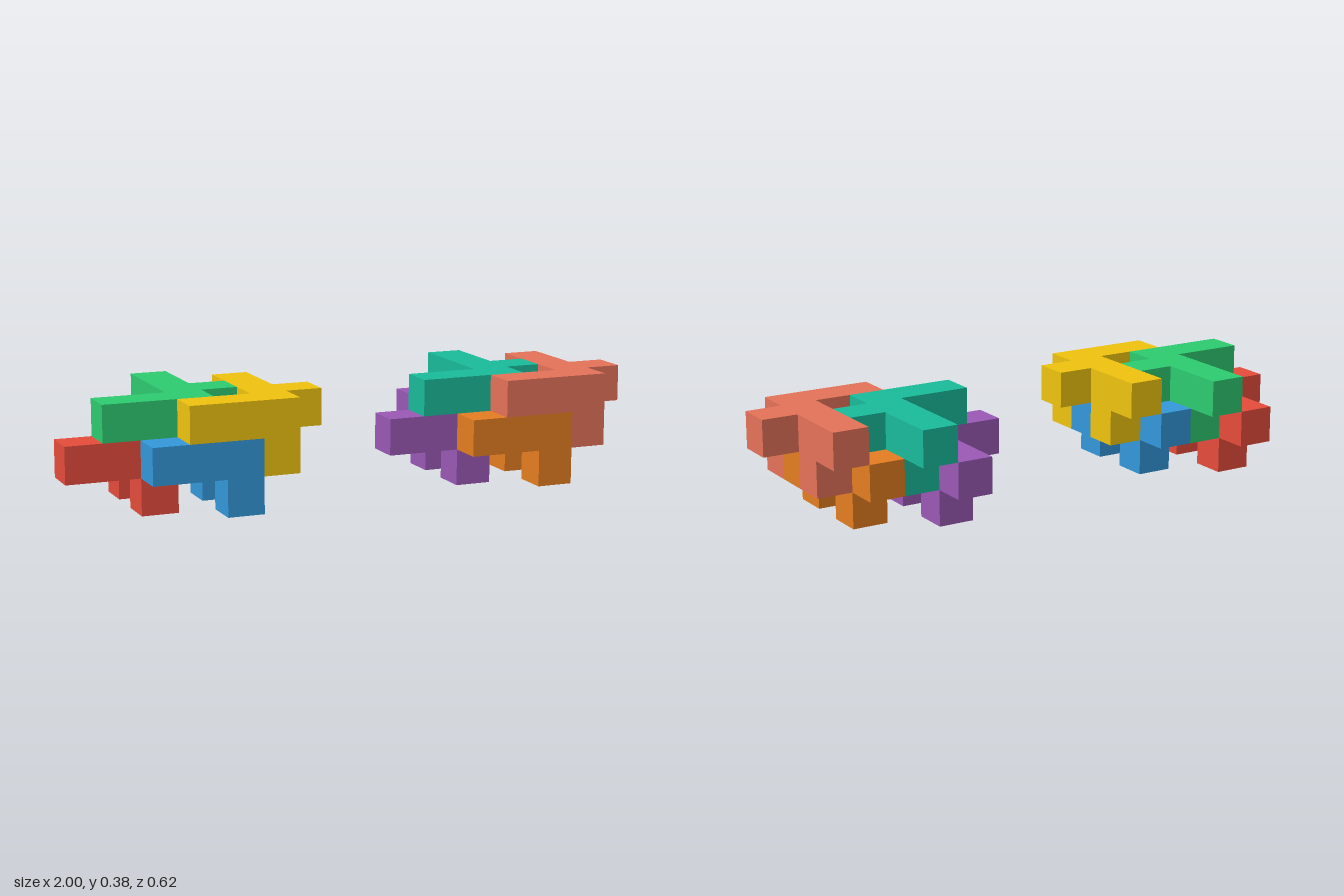
import * as THREE from 'three';
import { mergeGeometries } from 'three/addons/utils/BufferGeometryUtils.js';

const U = 0.125; // edge of one unit cube

// Cubes of one interlocking piece [x, y, z]: a bent bar with a side stub and two pegs below
const CELLS = [
  [0, 1, 3], [1, 1, 3], [2, 1, 3],
  [2, 1, 2], [2, 1, 1], [2, 1, 0],
  [3, 1, 2],
  [2, 0, 3], [2, 0, 1],
];

// Rotations turning a +z facing square towards each of the six directions
const SIDES = [
  { dir: [0, 0, 1], rx: 0, ry: 0 },
  { dir: [0, 0, -1], rx: 0, ry: Math.PI },
  { dir: [1, 0, 0], rx: 0, ry: Math.PI / 2 },
  { dir: [-1, 0, 0], rx: 0, ry: -Math.PI / 2 },
  { dir: [0, 1, 0], rx: -Math.PI / 2, ry: 0 },
  { dir: [0, -1, 0], rx: Math.PI / 2, ry: 0 },
];

// Outer skin of the piece: a square wherever a cube has no neighbour
function pieceGeometry() {
  const filled = new Set(CELLS.map((c) => c.join()));
  const faces = [];
  for (const c of CELLS) {
    for (const { dir, rx, ry } of SIDES) {
      if (filled.has(c.map((v, i) => v + dir[i]).join())) continue;
      const face = new THREE.PlaneGeometry(U, U).translate(0, 0, U / 2);
      face.rotateX(rx).rotateY(ry);
      face.translate((c[0] + 0.5) * U, (c[1] + 0.5) * U, (c[2] + 0.5) * U);
      faces.push(face);
    }
  }
  return mergeGeometries(faces);
}

// Where each of the four pieces sits in a cluster, in cubes
const PLACES = [
  { name: 'lowerBackPiece', at: [0, 0, 0] },
  { name: 'lowerFrontPiece', at: [2, 0, 1] },
  { name: 'upperBackPiece', at: [1, 1, 0] },
  { name: 'upperFrontPiece', at: [3, 1, 1] },
];

const CLUSTERS = [
  { name: 'rightCluster', x: -1, colors: [0xe74c3c, 0x3498db, 0x2ecc71, 0xf1c40f] },
  { name: 'leftCluster', x: 0.125, colors: [0x9b59b6, 0xe67e22, 0x1abc9c, 0xe6735a] },
];

export function createModel() {
  const model = new THREE.Group();
  model.name = 'interlockingCubePieces';
  const geometry = pieceGeometry();
  for (const { name, x, colors } of CLUSTERS) {
    const cluster = new THREE.Group();
    cluster.name = name;
    cluster.position.set(x, 0, -2.5 * U);
    PLACES.forEach((place, i) => {
      const material = new THREE.MeshStandardMaterial({ color: colors[i] });
      const piece = new THREE.Mesh(geometry, material);
      piece.name = place.name;
      piece.position.set(...place.at).multiplyScalar(U);
      cluster.add(piece);
    });
    model.add(cluster);
  }
  return model;
}
